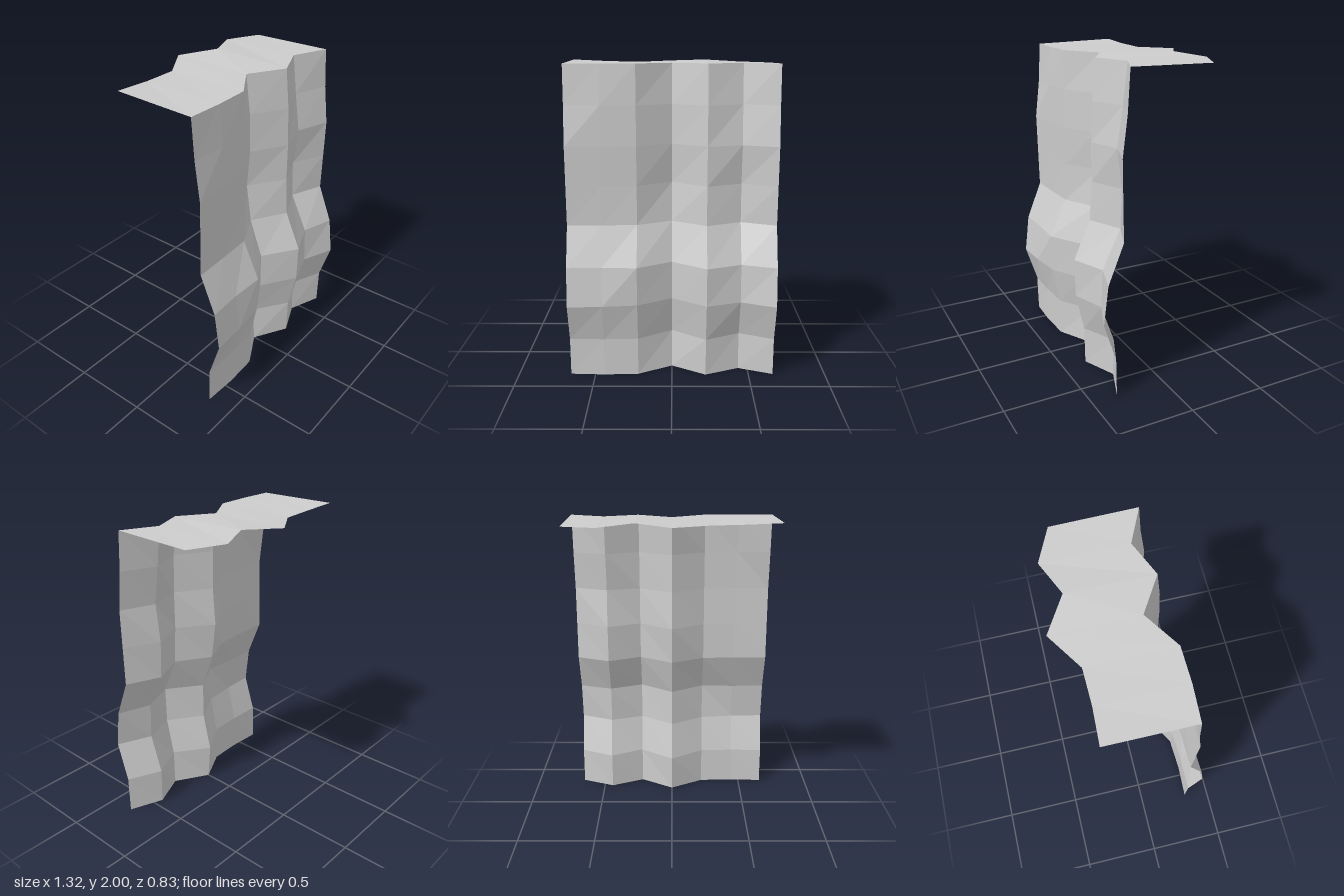
import * as THREE from 'three';

const STEP_X = 0.22;
const TOP_Y = 1.99;

// Depth of the cliff face at each height, one row per level from the ground up
const FACE_DEPTHS = [
  [0.33, 0.34, 0.33, 0.21, 0.34, 0.245, 0.33],
  [0.335, 0.34, 0.33, 0.19, 0.345, 0.24, 0.335],
  [0.415, 0.405, 0.38, 0.25, 0.4, 0.325, 0.415],
  [0.385, 0.375, 0.385, 0.25, 0.405, 0.315, 0.385],
  [0.285, 0.28, 0.27, 0.16, 0.295, 0.195, 0.285],
  [0.29, 0.28, 0.265, 0.125, 0.28, 0.185, 0.29],
  [0.295, 0.285, 0.27, 0.145, 0.28, 0.215, 0.295],
  [0.265, 0.28, 0.265, 0.14, 0.27, 0.18, 0.265],
  [0.25, 0.26, 0.255, 0.11, 0.245, 0.15, 0.25],
];

// Rear rim of the ledge: depth and height
const RIM_DEPTHS = [-0.28, -0.27, -0.275, -0.42, -0.285, -0.38, -0.28];
const RIM_HEIGHTS = [2, 1.99, 1.985, 1.99, 2, 1.985, 1.98];

// Joins rows of points into a faceted sheet, each cell split from lower left to upper right
function sheet(rows) {
  const positions = [];
  for (let r = 0; r < rows.length - 1; r++) {
    for (let c = 0; c < rows[r].length - 1; c++) {
      const a = rows[r][c], b = rows[r][c + 1];
      const d = rows[r + 1][c], e = rows[r + 1][c + 1];
      for (const p of [a, b, e, a, e, d]) positions.push(...p);
    }
  }
  const geometry = new THREE.BufferGeometry();
  geometry.setAttribute('position', new THREE.Float32BufferAttribute(positions, 3));
  geometry.computeVertexNormals();
  return geometry;
}

export function createModel() {
  const stone = new THREE.MeshStandardMaterial({
    name: 'stone', color: 0xcccccc, flatShading: true, side: THREE.DoubleSide,
  });
  const columnX = (i) => (i - 3) * STEP_X;

  const faceRows = FACE_DEPTHS.map((row, r) =>
    row.map((z, i) => [columnX(i), (TOP_Y * r) / (FACE_DEPTHS.length - 1), z]));
  const rim = RIM_DEPTHS.map((z, i) => [columnX(i), RIM_HEIGHTS[i], z]);

  const group = new THREE.Group();
  group.name = 'cliffSection';

  // Folded rock wall
  const face = new THREE.Mesh(sheet(faceRows), stone);
  face.name = 'cliffFace';

  // Ledge running back from the top edge of the wall
  const ledge = new THREE.Mesh(sheet([faceRows[faceRows.length - 1], rim]), stone);
  ledge.name = 'topLedge';

  group.add(face, ledge);
  return group;
}
